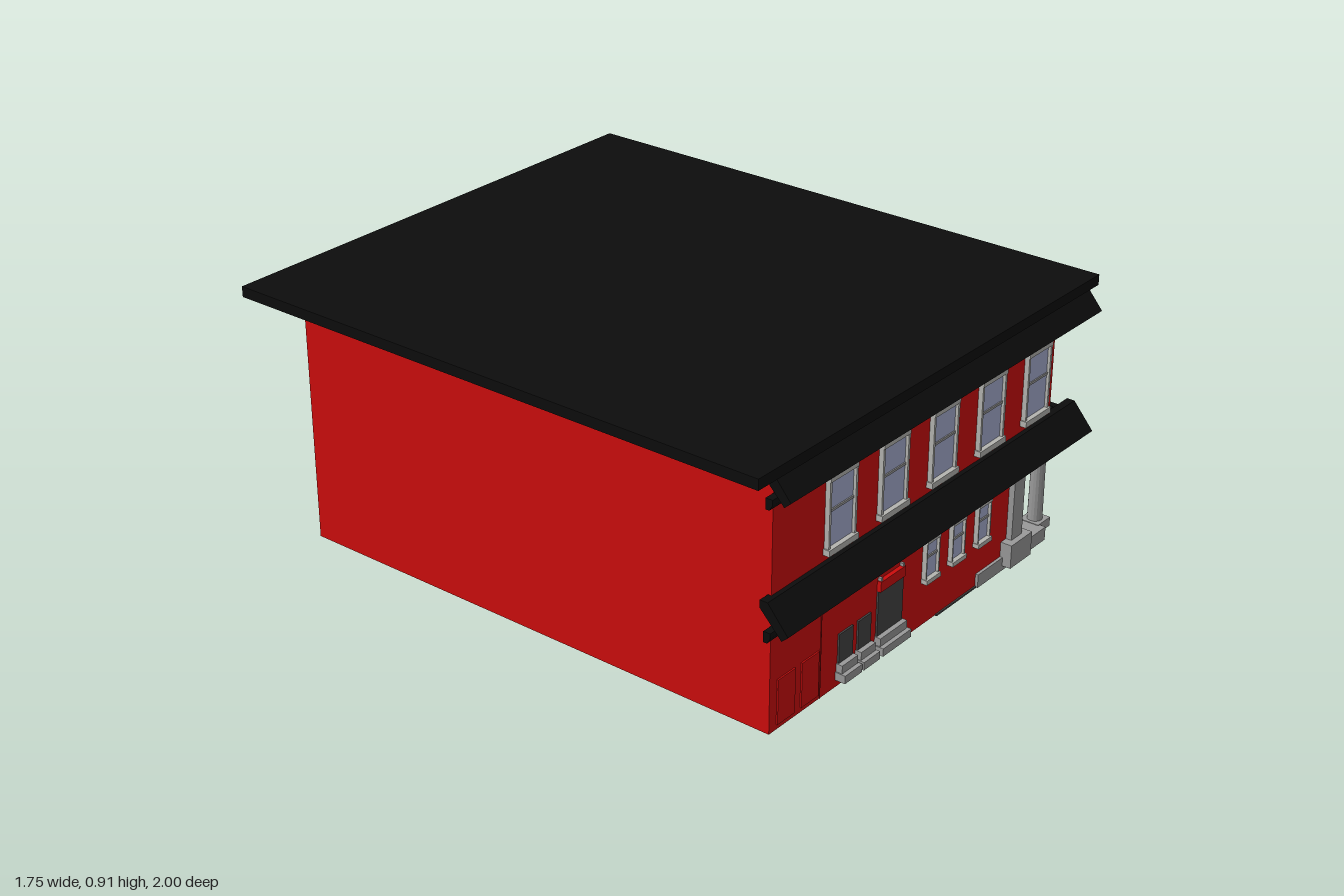
import * as THREE from 'three';

const mat = (color) => new THREE.MeshStandardMaterial({ color, flatShading: true });
const RED = mat(0xcc0c0c), BLACK = mat(0x0d0d0d), GLASS = mat(0xa6aed0);
const STONE = mat(0x999999), PALE = mat(0xb4b4b0), DARK = mat(0x444444), DARKRED = mat(0x990a0a);

function add(parent, name, geometry, material) {
  const mesh = new THREE.Mesh(geometry, material);
  mesh.name = name;
  parent.add(mesh);
  return mesh;
}

// Box given by its limits along each axis
function box(parent, name, material, x0, x1, y0, y1, z0, z1) {
  const m = add(parent, name, new THREE.BoxGeometry(x1 - x0, y1 - y0, z1 - z0), material);
  m.position.set((x0 + x1) / 2, (y0 + y1) / 2, (z0 + z1) / 2);
  return m;
}

// Wall-local frame: x along the wall, y up, z outward
function facade(parent, name, x, z, angle) {
  const g = new THREE.Group();
  g.name = name;
  g.position.set(x, 0, z);
  g.rotation.y = angle;
  parent.add(g);
  return g;
}

// Sash window with frame, middle rail and sill
function sashWindow(wall, x, y0, y1, w, d, lintel) {
  const g = new THREE.Group();
  g.name = 'sashWindow';
  g.position.set(x, 0, d);
  wall.add(g);
  const h = w / 2, f = w * 0.07, mid = (y0 + y1) / 2 + 0.01;
  box(g, 'glass', GLASS, -h, h, y0, y1, 0, 0.006);
  for (const s of [-1, 1]) box(g, 'jamb', PALE, s * h - f / 2, s * h + f / 2, y0, y1, 0, 0.016);
  box(g, 'middleRail', STONE, -h, h, mid - 0.004, mid + 0.004, 0, 0.01);
  box(g, 'lintel', PALE, -h - f / 2, h + f / 2, y1 - lintel, y1, 0, 0.018);
  box(g, 'sill', PALE, -h - f, h + f, y0 - 0.005, y0 + lintel, 0, 0.022);
}

// Sloping eave board with a small moulding below; d is its distance from the wall
function cornice(wall, x0, x1, y, d) {
  const g = new THREE.Group();
  g.name = 'cornice';
  g.position.set(x0, y, d);
  wall.add(g);
  const sweep = (name, pts) => {
    const shape = new THREE.Shape(pts.map(([z, h]) => new THREE.Vector2(-z, h)));
    const geo = new THREE.ExtrudeGeometry(shape, { depth: x1 - x0, bevelEnabled: false });
    geo.rotateY(Math.PI / 2);
    add(g, name, geo, BLACK);
  };
  sweep('slopingBoard', [[-0.012, 0.105], [0.065, 0.025], [0.087, 0.045], [0.015, 0.13], [-0.012, 0.13]]);
  sweep('moulding', [[0.002, 0], [0.015, 0], [0.026, 0.018], [0.026, 0.035], [0.002, 0.035]]);
}

// Dark opening with two stone steps of sill beneath
function shutterWindow(wall, x0, x1, top) {
  box(wall, 'shutter', DARK, x0, x1, 0.08, top, 0, 0.006);
  box(wall, 'upperSill', STONE, x0 - 0.004, x1 + 0.004, 0.055, 0.082, 0, 0.022);
  box(wall, 'lowerSill', STONE, x0 - 0.008, x1 + 0.008, 0.028, 0.055, 0, 0.036);
}

// Open lattice of thin bars
function lattice(wall, x0, x1, y0, y1, nx, ny, material = DARK) {
  const g = new THREE.Group();
  g.name = 'lattice';
  wall.add(g);
  const t = 0.002;
  for (let i = 0; i <= nx; i++) {
    const x = x0 + (x1 - x0) * i / nx;
    box(g, 'uprightBar', material, x - t, x + t, y0, y1, 0, 0.008);
  }
  for (let j = 0; j <= ny; j++) {
    const y = y0 + (y1 - y0) * j / ny;
    box(g, 'crossBar', material, x0, x1, y - t, y + t, 0, 0.008);
  }
}

function column(parent, x, z, r, w, baseTop) {
  const g = new THREE.Group();
  g.name = 'column';
  g.position.set(x, 0, z);
  parent.add(g);
  const c = add(g, 'shaft', new THREE.CylinderGeometry(r * 0.92, r, 0.33 - baseTop, 16), STONE);
  c.position.y = (0.33 + baseTop) / 2;
  box(g, 'base', STONE, -w, w, 0.018, baseTop, -w, w);
  box(g, 'capital', STONE, -r * 1.15, r * 1.15, 0.31, 0.33, -r * 1.15, r * 1.15);
}

export function createModel() {
  const model = new THREE.Group();
  model.name = 'cornerBuilding';

  // Ground floor with the corner cut off diagonally, upper floor above it
  const plan = [[-0.72, 0.91], [0.525, 0.91], [0.725, 0.71], [0.725, -0.905], [-0.72, -0.905]];
  const outline = new THREE.Shape(plan.map(([x, z]) => new THREE.Vector2(x, -z)));
  const ground = new THREE.ExtrudeGeometry(outline, { depth: 0.4, bevelEnabled: false });
  ground.rotateX(-Math.PI / 2);
  add(model, 'groundFloor', ground, RED).position.y = 0.003;
  box(model, 'upperFloor', RED, -0.72, 0.725, 0.33, 0.88, -0.905, 0.91);
  box(model, 'roof', BLACK, -0.88, 0.845, 0.875, 0.91, -1, 0.98);
  box(model, 'cornerFloor', DARK, 0.12, 0.73, 0, 0.006, 0.32, 0.915);
  box(model, 'porchStep', STONE, 0.34, 0.735, 0.001, 0.048, 0.69, 0.92);

  const front = facade(model, 'frontWall', 0, 0.91, 0);
  const side = facade(model, 'sideWall', 0.725, 0, Math.PI / 2);
  const corner = facade(model, 'cornerWall', 0.625, 0.81, Math.PI / 4);

  // Eaves on both floors
  for (const y of [0.745, 0.328]) {
    cornice(front, -0.757, 0.85, y, 0);
    cornice(side, -0.92, 0.965, y - 0.004, 0.063);
  }

  // Upper windows
  for (let i = 0; i < 5; i++) {
    sashWindow(front, -0.41 + i * 0.2575, 0.485, 0.728, 0.125, 0, 0.015);
    sashWindow(side, -0.61 + i * 0.2575, 0.485, 0.728, 0.125, 0.01, 0.015);
  }

  // Front ground floor: small windows, shutters, panels
  for (const x of [0.068, 0.209, 0.351]) sashWindow(front, x, 0.16, 0.303, 0.066, 0, 0.01);
  shutterWindow(front, -0.395, -0.325, 0.18);
  shutterWindow(front, -0.3, -0.235, 0.18);
  shutterWindow(front, -0.203, -0.073, 0.235);
  box(front, 'signBoard', RED, -0.203, -0.075, 0.235, 0.27, 0, 0.014);
  for (const x of [-0.195, -0.083]) box(front, 'signBracket', STONE, x - 0.004, x + 0.004, 0.27, 0.28, 0, 0.012);
  for (const x of [-0.645, -0.532]) box(front, 'redPanel', RED, x - 0.041, x + 0.041, 0.02, 0.17, 0, 0.005);
  box(front, 'wallSeam', DARKRED, -0.481, -0.478, 0.003, 0.33, 0, 0.002);

  // Side ground floor: framed shop window
  box(side, 'shopGlass', DARK, -0.615, -0.425, 0.04, 0.255, 0, 0.008);
  for (const x of [-0.63, -0.415]) box(side, 'shopPilaster', PALE, x - 0.022, x + 0.022, 0.02, 0.255, 0, 0.02);
  box(side, 'shopLintel', PALE, -0.655, -0.388, 0.25, 0.31, 0, 0.035);
  box(side, 'shopSill', PALE, -0.615, -0.425, 0.015, 0.045, 0, 0.028);
  box(side, 'wallSeam', DARKRED, -0.322, -0.318, 0.003, 0.33, 0, 0.002);

  // Side entrance with flanking windows, lattices and sign
  box(side, 'sideDoor', BLACK, -0.115, 0.038, 0.003, 0.215, 0, 0.012);
  for (const [x0, x1] of [[-0.23, -0.115], [0.038, 0.147]]) {
    box(side, 'flankingWindow', DARK, x0, x1, 0.085, 0.185, 0, 0.008);
    lattice(side, x0 - 0.008, x1 + 0.004, 0.012, 0.08, 5, 3);
  }
  box(side, 'doorSign', RED, -0.13, 0.07, 0.23, 0.275, 0, 0.02);
  box(side, 'signCap', DARKRED, -0.135, 0.075, 0.272, 0.28, 0, 0.024);
  lattice(side, -0.27, -0.07, 0.275, 0.33, 7, 2);
  lattice(side, 0.02, 0.185, 0.275, 0.33, 6, 2);
  lattice(side, -0.065, -0.015, 0.28, 0.33, 3, 3, STONE);

  // Diagonal corner door with arched top light
  const dx = 0.028;
  box(corner, 'doorFrame', BLACK, dx - 0.066, dx + 0.066, 0.048, 0.225, 0, 0.006);
  box(corner, 'cornerDoor', DARK, dx - 0.055, dx + 0.055, 0.055, 0.215, 0, 0.012);
  const arch = new THREE.CylinderGeometry(0.062, 0.062, 0.012, 20, 1, false, Math.PI / 2, Math.PI);
  arch.rotateX(Math.PI / 2);
  add(corner, 'archedLight', arch, STONE).position.set(dx, 0.225, 0.006);

  // Porch supports
  box(model, 'frontPilaster', STONE, 0.51, 0.57, 0.1, 0.33, 0.885, 0.93);
  box(model, 'pilasterBase', STONE, 0.48, 0.6, 0.018, 0.1, 0.89, 0.95);
  column(model, 0.762, 0.862, 0.025, 0.036, 0.05);
  column(model, 0.735, 0.688, 0.025, 0.038, 0.1);
  return model;
}
